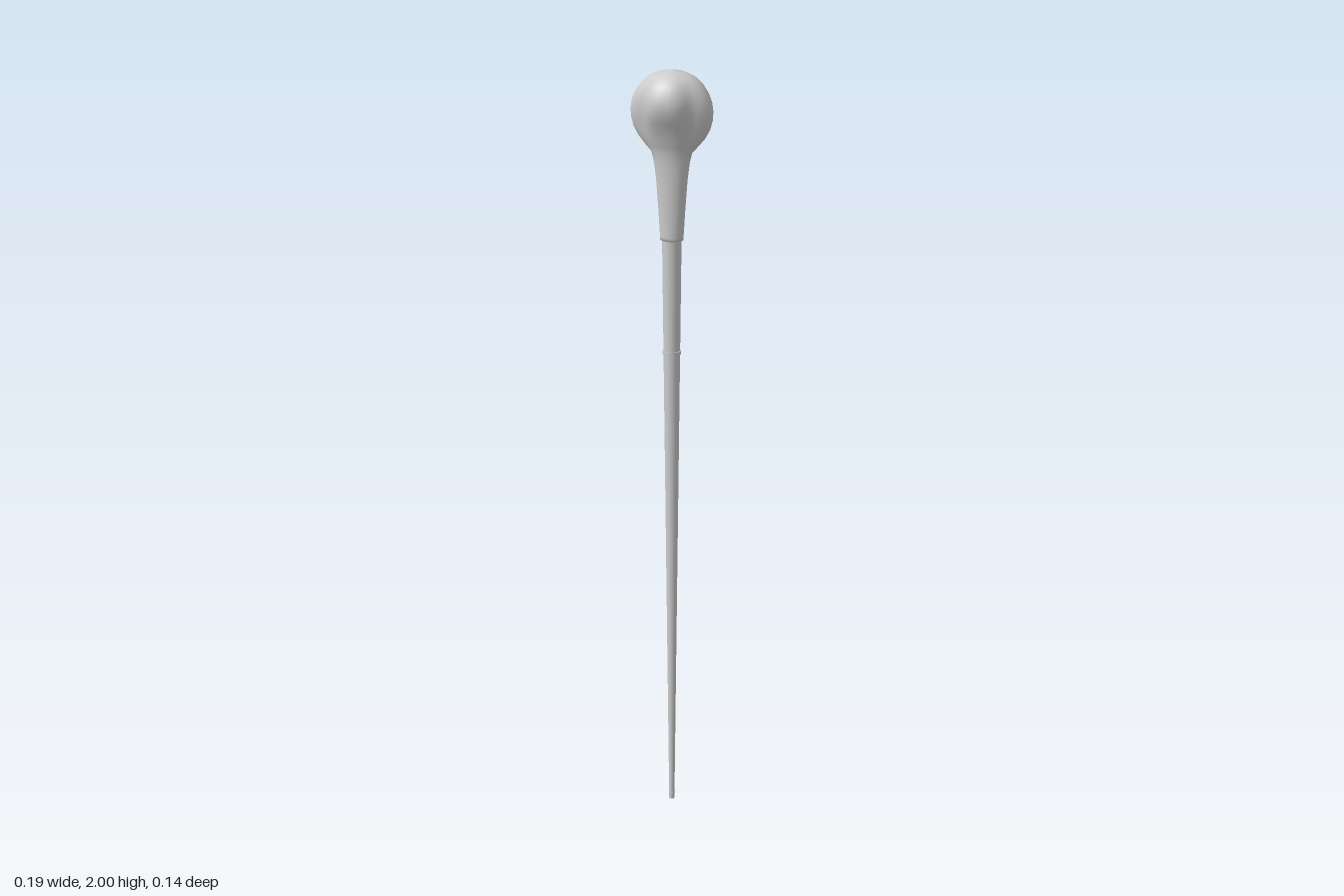
import * as THREE from 'three';

const material = new THREE.MeshStandardMaterial({ color: 0xcccccc, side: THREE.DoubleSide });

// Cross-sections of the handle: [height, half width, half depth, pinch between the lobes]
const sections = [
  [1.608, 0.022, 0.018, 0], [1.608, 0.028, 0.024, 0], [1.616, 0.028, 0.024, 0],
  [1.68, 0.032, 0.025, 0], [1.75, 0.037, 0.027, 0], [1.79, 0.042, 0.029, 0],
  [1.815, 0.048, 0.032, 0.02], [1.83, 0.062, 0.036, 0.05], [1.85, 0.079, 0.043, 0.09],
  [1.87, 0.09, 0.050, 0.13], [1.89, 0.095, 0.060, 0.16], [1.91, 0.096, 0.069, 0.17],
  [1.93, 0.093, 0.072, 0.16], [1.95, 0.085, 0.069, 0.12], [1.97, 0.071, 0.059, 0.08],
  [1.985, 0.054, 0.044, 0.04], [1.995, 0.031, 0.026, 0.01], [2.0, 0.0005, 0.0005, 0],
];

// Smooth loft through the cross-sections
function loft(rings, sides = 40) {
  const pos = [], index = [];
  rings.forEach(([y, a, b, pinch], i) => {
    for (let j = 0; j < sides; j++) {
      const t = (j / sides) * Math.PI * 2;
      const r = 1 - pinch * Math.sin(2 * t) ** 4;
      pos.push(a * r * Math.cos(t), y, b * r * Math.sin(t));
      if (i === rings.length - 1) continue;
      const k = (j + 1) % sides, lo = i * sides, hi = lo + sides;
      index.push(lo + j, hi + j, lo + k, lo + k, hi + j, hi + k);
    }
  });
  const g = new THREE.BufferGeometry();
  g.setAttribute('position', new THREE.Float32BufferAttribute(pos, 3));
  g.setIndex(index);
  g.computeVertexNormals();
  return g;
}

export function createModel() {
  const group = new THREE.Group();
  const add = (name, geometry, y = 0) => {
    const mesh = new THREE.Mesh(geometry, material);
    mesh.name = name;
    mesh.position.y = y;
    group.add(mesh);
  };
  // Round knob flowing into a flared neck
  add('knobHandle', loft(sections));

  // Long tapering shaft
  add('shaft', new THREE.CylinderGeometry(0.023, 0.0075, 1.6, 24), 0.82);

  // Thin ring part way down the shaft
  add('collar', new THREE.CylinderGeometry(0.0225, 0.0225, 0.009, 24), 1.327);

  // Small metal tip
  add('ferrule', new THREE.CylinderGeometry(0.0085, 0.0075, 0.022, 24), 0.011);

  return group;
}
